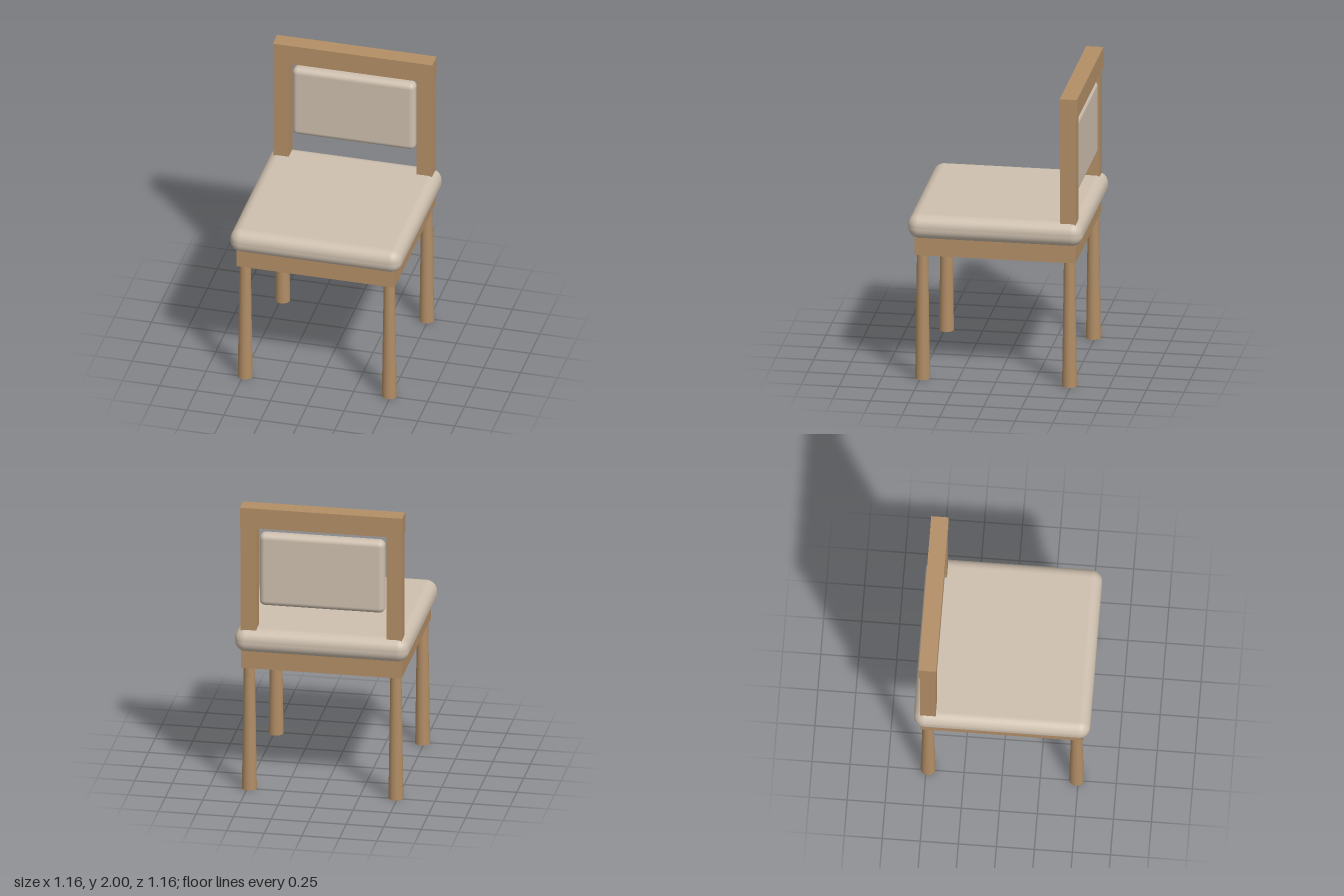
import * as THREE from 'three';
import { RoundedBoxGeometry } from 'three/addons/geometries/RoundedBoxGeometry.js';

export function createModel() {
  const chair = new THREE.Group();
  chair.name = 'chair';
  const wood = new THREE.MeshStandardMaterial({ color: 0xb28e66 });
  const fabric = new THREE.MeshStandardMaterial({ color: 0xcdbfae });

  const add = (name, geometry, material, x, y, z) => {
    const mesh = new THREE.Mesh(geometry, material);
    mesh.name = name;
    mesh.position.set(x, y, z);
    chair.add(mesh);
  };

  // Seat: wooden base with a padded cushion overhanging it
  add('seatFrame', new THREE.BoxGeometry(1.07, 0.12, 1.07), wood, 0, 0.925, 0);
  add('seatCushion', new RoundedBoxGeometry(1.16, 0.164, 1.16, 6, 0.074), fabric, 0, 1.061, 0);

  // Round legs, slightly thicker at the foot, and square back posts
  const legGeometry = new THREE.CylinderGeometry(0.037, 0.049, 0.865, 32);
  const postGeometry = new THREE.BoxGeometry(0.104, 0.89, 0.104);
  for (const [side, sx] of [['left', 1], ['right', -1]]) {
    add(side + 'FrontLeg', legGeometry, wood, sx * 0.488, 0.4325, 0.488);
    add(side + 'BackLeg', legGeometry, wood, sx * 0.488, 0.4325, -0.488);
    add(side + 'BackPost', postGeometry, wood, sx * 0.485, 1.425, -0.486);
  }

  // Top rail and the padded panel between the posts
  add('topRail', new THREE.BoxGeometry(1.08, 0.138, 0.115), wood, 0, 1.931, -0.4885);
  add('backCushion', new RoundedBoxGeometry(0.834, 0.508, 0.09, 6, 0.038), fabric, 0, 1.562, -0.488);

  return chair;
}
